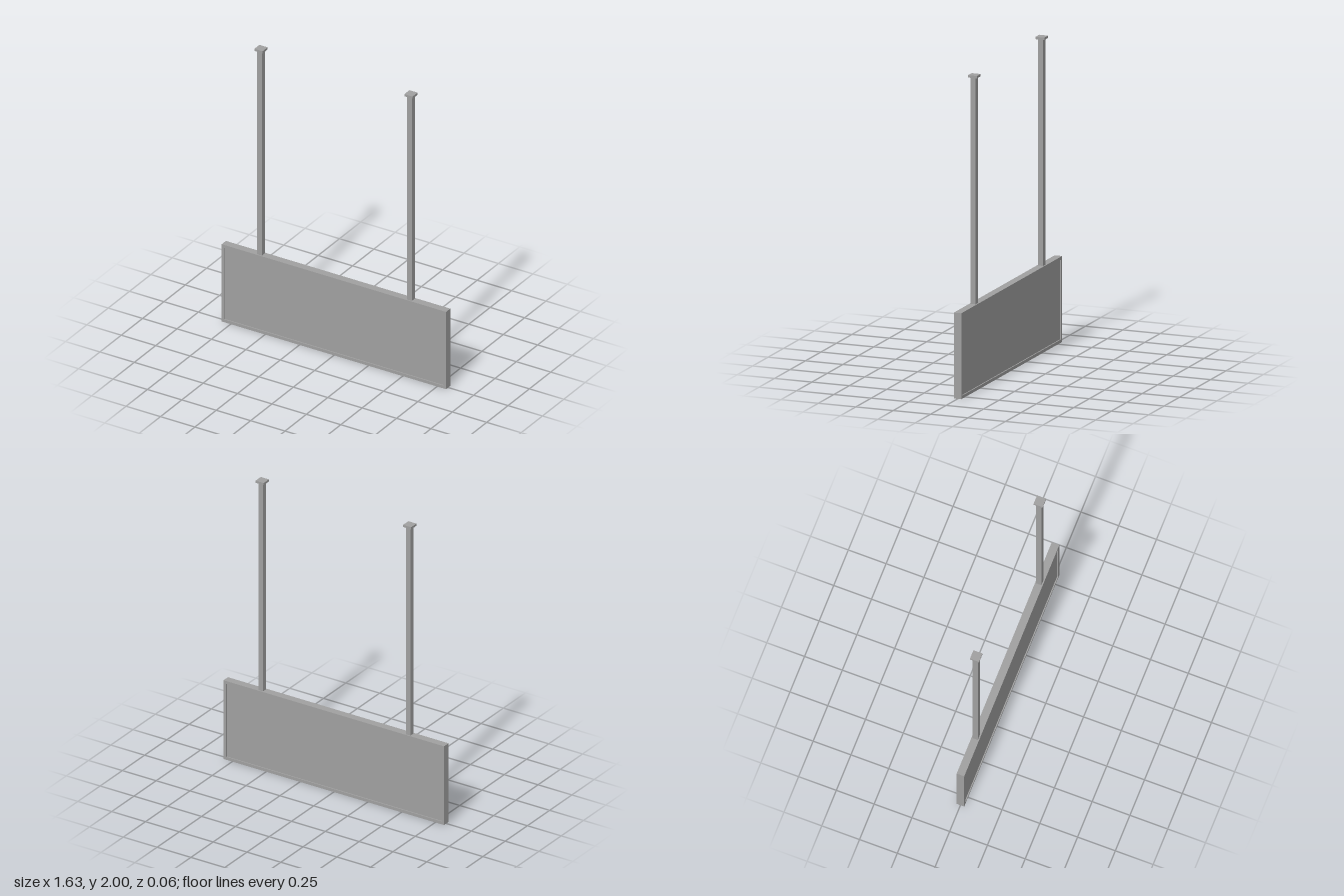
import * as THREE from 'three';

export function createModel() {
  const model = new THREE.Group();
  model.name = 'hangingSign';
  const metal = new THREE.MeshStandardMaterial({ color: 0xa0a0a0 });
  metal.name = 'grey metal';

  // Box helper: size, then centre position
  function box(name, w, h, d, x, y, z = 0) {
    const mesh = new THREE.Mesh(new THREE.BoxGeometry(w, h, d), metal);
    mesh.name = name;
    mesh.position.set(x, y, z);
    model.add(mesh);
    return mesh;
  }

  const width = 1.63, height = 0.546, depth = 0.05, rim = 0.02;

  // Sign panel, slightly recessed on both faces
  box('signPanel', width - 2 * rim, height - 2 * rim, depth - 0.014, 0, height / 2);

  // Frame: long rails above and below, short stiles between them
  box('bottomRail', width, rim, depth, 0, rim / 2);
  box('topRail', width, rim, depth, 0, height - rim / 2);

  for (const [side, s] of [['left', 1], ['right', -1]]) {
    box(side + 'Stile', rim, height - 2 * rim, depth, s * (width - rim) / 2, height / 2);

    // Square hanging post with its ceiling plate
    const plate = 0.015, postLength = 2 - plate - height;
    box(side + 'Post', 0.034, postLength, 0.034, s * 0.545, height + postLength / 2);
    box(side + 'CeilingPlate', 0.06, plate, 0.06, s * 0.545, 2 - plate / 2);
  }

  return model;
}
